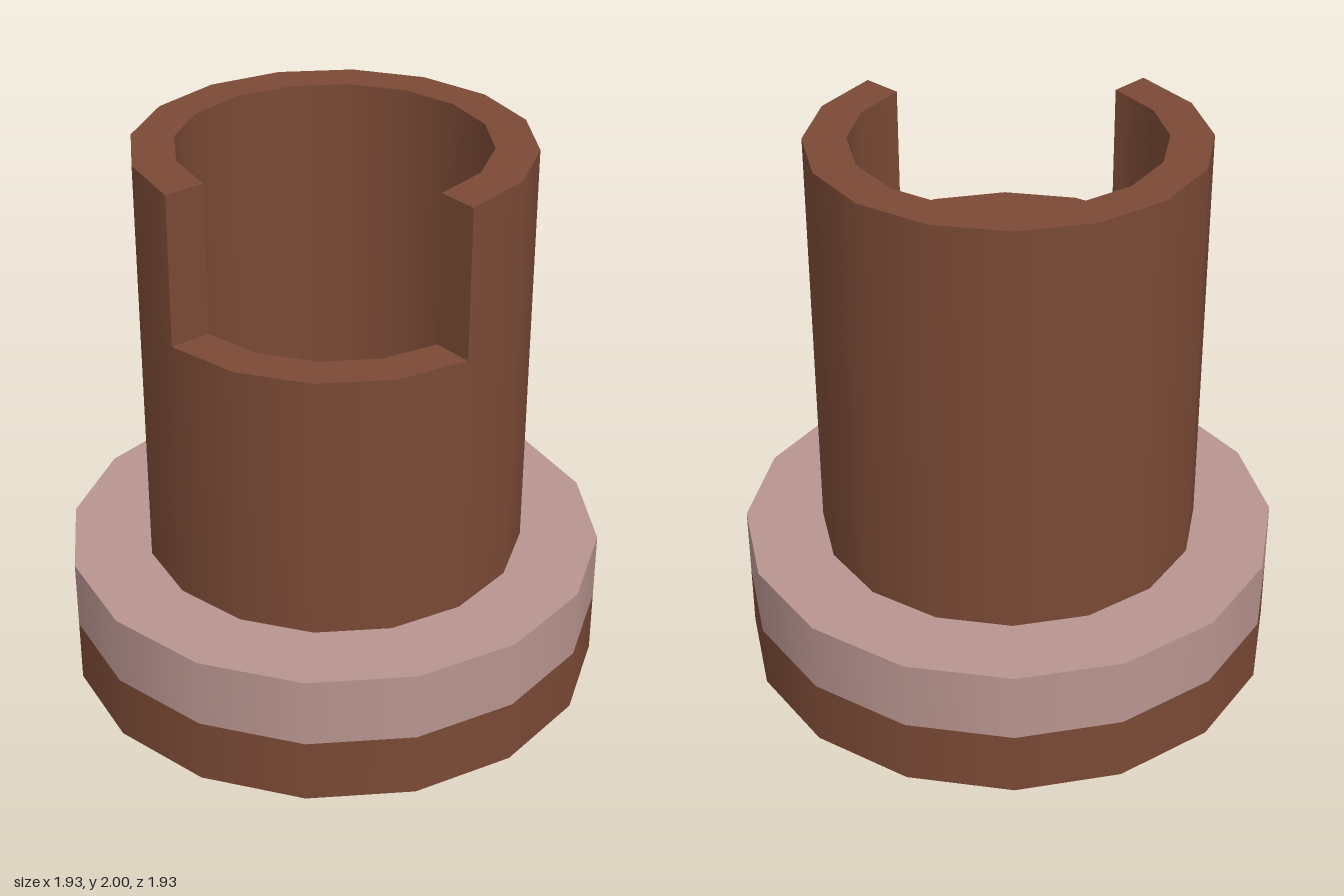
import * as THREE from 'three';
import { mergeGeometries } from 'three/addons/utils/BufferGeometryUtils.js';

const SIDES = 16;
const BASE_R = 0.967, OUTER_R = 0.685, INNER_R = 0.537;
const BAND_Y = 0.235, COLLAR_Y = 0.49, NOTCH_Y = 1.46, TOP_Y = 2;
const NOTCH = Math.PI / 4; // half angle of the front notch

// Revolves each profile segment on its own: smooth around, sharp at the rims
function revolve(profile, start = 0, length = Math.PI * 2, sides = SIDES) {
  const strips = [];
  for (let i = 0; i + 1 < profile.length; i++) {
    const points = [profile[i], profile[i + 1]].map(([r, y]) => new THREE.Vector2(r, y));
    strips.push(new THREE.LatheGeometry(points, sides, start, length));
  }
  return mergeGeometries(strips);
}

export function createModel() {
  const model = new THREE.Group();
  const brown = new THREE.MeshStandardMaterial({ color: 0x7a4935 });
  const pink = new THREE.MeshStandardMaterial({ color: 0xb8948f });

  const add = (name, geometry, material, parent = model) => {
    const mesh = new THREE.Mesh(geometry, material);
    mesh.name = name;
    parent.add(mesh);
    return mesh;
  };

  // Stepped foot: dark base with a lighter collar that also forms the cup floor
  add('base', revolve([[0, 0], [BASE_R, 0], [BASE_R, BAND_Y]]), brown);
  add('collar', revolve([[BASE_R, BAND_Y], [BASE_R, COLLAR_Y], [0, COLLAR_Y]]), pink);

  // Hollow tube, full circle up to the notch sill
  const tube = new THREE.Group();
  tube.name = 'tube';
  model.add(tube);
  add('lowerTube', revolve([[OUTER_R, COLLAR_Y], [OUTER_R, NOTCH_Y]]), brown, tube);
  add('lowerBore', revolve([[INNER_R, NOTCH_Y], [INNER_R, COLLAR_Y]]), brown, tube);
  add('notchSill', revolve([[OUTER_R, NOTCH_Y], [INNER_R, NOTCH_Y]], -NOTCH, NOTCH * 2, SIDES / 4), brown, tube);

  // Upper wall, open at the front quarter
  add('upperTube', revolve(
    [[OUTER_R, NOTCH_Y], [OUTER_R, TOP_Y], [INNER_R, TOP_Y], [INNER_R, NOTCH_Y]],
    NOTCH, Math.PI * 2 - NOTCH * 2, SIDES * 3 / 4), brown, tube);

  // Radial end faces of the upper wall
  const midR = (OUTER_R + INNER_R) / 2;
  for (const [name, side] of [['leftNotchFace', 1], ['rightNotchFace', -1]]) {
    const face = add(name, new THREE.PlaneGeometry(OUTER_R - INNER_R, TOP_Y - NOTCH_Y), brown, tube);
    face.position.set(side * midR * Math.sin(NOTCH), (TOP_Y + NOTCH_Y) / 2, midR * Math.cos(NOTCH));
    face.rotation.y = side * (NOTCH - Math.PI / 2);
  }
  return model;
}
